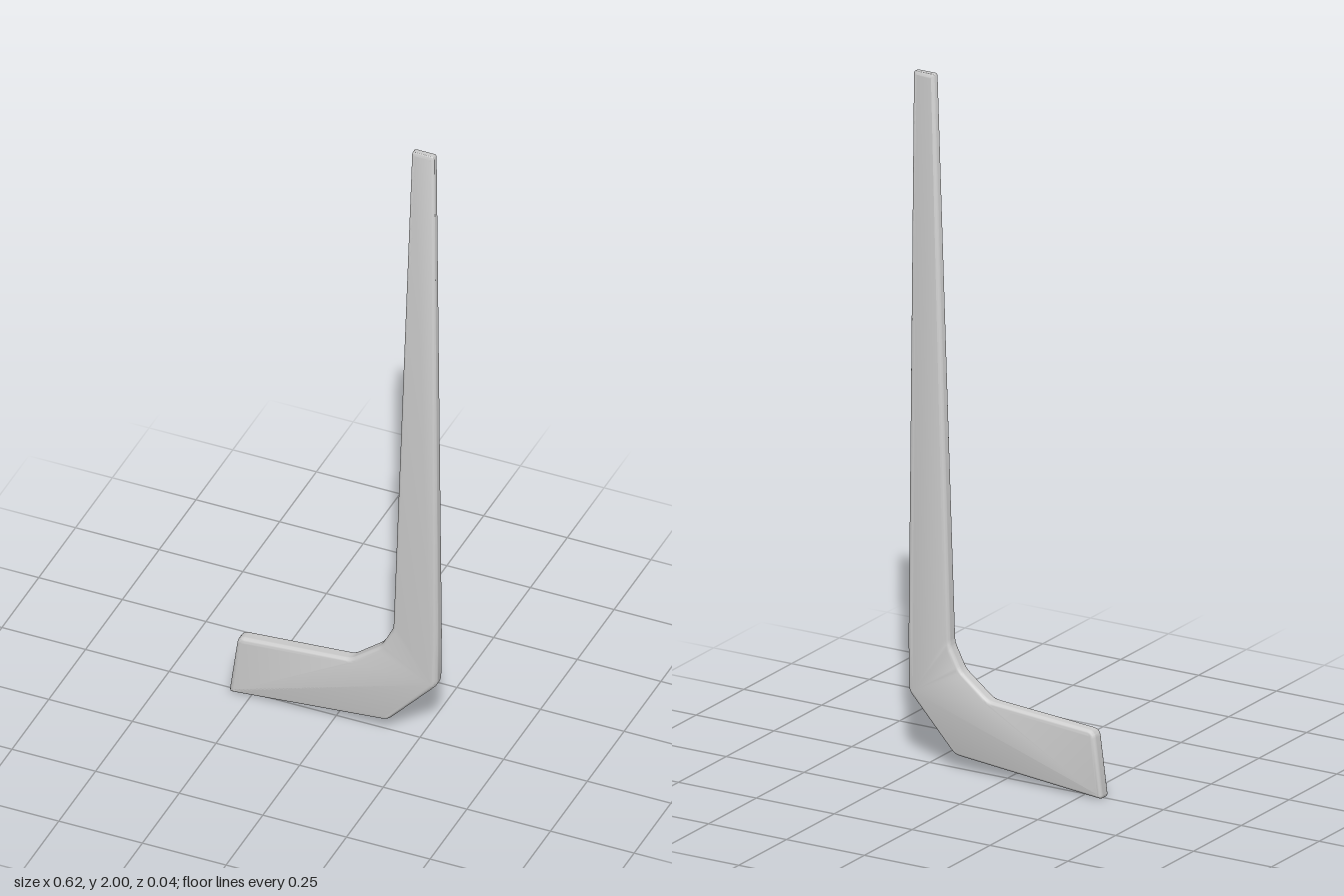
import * as THREE from 'three';
import { toCreasedNormals } from 'three/addons/utils/BufferGeometryUtils.js';

// Outline corners [x, y, corner radius], counter-clockwise from the toe
const OUTLINE = [
  [-0.314, 0.0, 0.012], [0.16, 0.044, 0.015], [0.308, 0.205, 0.015], [0.31, 0.36, 0.03],
  [0.298, 2.0, 0.008], [0.231, 2.0, 0.008], [0.176, 0.36, 0.015], [0.14, 0.29, 0.015],
  [0.05, 0.22, 0.015], [-0.288, 0.194, 0.02],
];

// Closed shape with softened corners
function roundedShape(corners) {
  const shape = new THREE.Shape();
  const n = corners.length;
  corners.forEach(([x, y, r], i) => {
    const p = new THREE.Vector2(x, y);
    const toward = (c) => new THREE.Vector2(c[0], c[1]).sub(p).setLength(r).add(p);
    const a = toward(corners[(i + n - 1) % n]);
    const b = toward(corners[(i + 1) % n]);
    if (i === 0) shape.moveTo(a.x, a.y);
    else shape.lineTo(a.x, a.y);
    shape.quadraticCurveTo(x, y, b.x, b.y);
  });
  shape.closePath();
  return shape;
}

export function createModel() {
  const group = new THREE.Group();
  group.name = 'hockeyStick';

  // Blade and shaft in one piece, edges rounded over
  const bevel = 0.013;
  const half = 0.022;
  const geometry = new THREE.ExtrudeGeometry(roundedShape(OUTLINE), {
    depth: 2 * (half - bevel), curveSegments: 4,
    bevelEnabled: true, bevelThickness: bevel, bevelSize: bevel, bevelOffset: -bevel, bevelSegments: 5,
  });
  geometry.translate(0, 0, -(half - bevel));

  // Thin the shaft toward the grip, mostly from the back
  const pos = geometry.attributes.position;
  for (let i = 0; i < pos.count; i++) {
    const t = THREE.MathUtils.clamp((pos.getY(i) - 0.36) / 1.64, 0, 1);
    const s = (pos.getZ(i) + half) / (2 * half);
    const back = THREE.MathUtils.lerp(-half, -0.01, t);
    const front = THREE.MathUtils.lerp(half, 0.016, t);
    pos.setZ(i, THREE.MathUtils.lerp(back, front, s));
  }

  const stick = new THREE.Mesh(
    toCreasedNormals(geometry, 0.6),
    new THREE.MeshStandardMaterial({ color: 0xcccccc }),
  );
  stick.name = 'bladeAndShaft';
  group.add(stick);
  return group;
}
